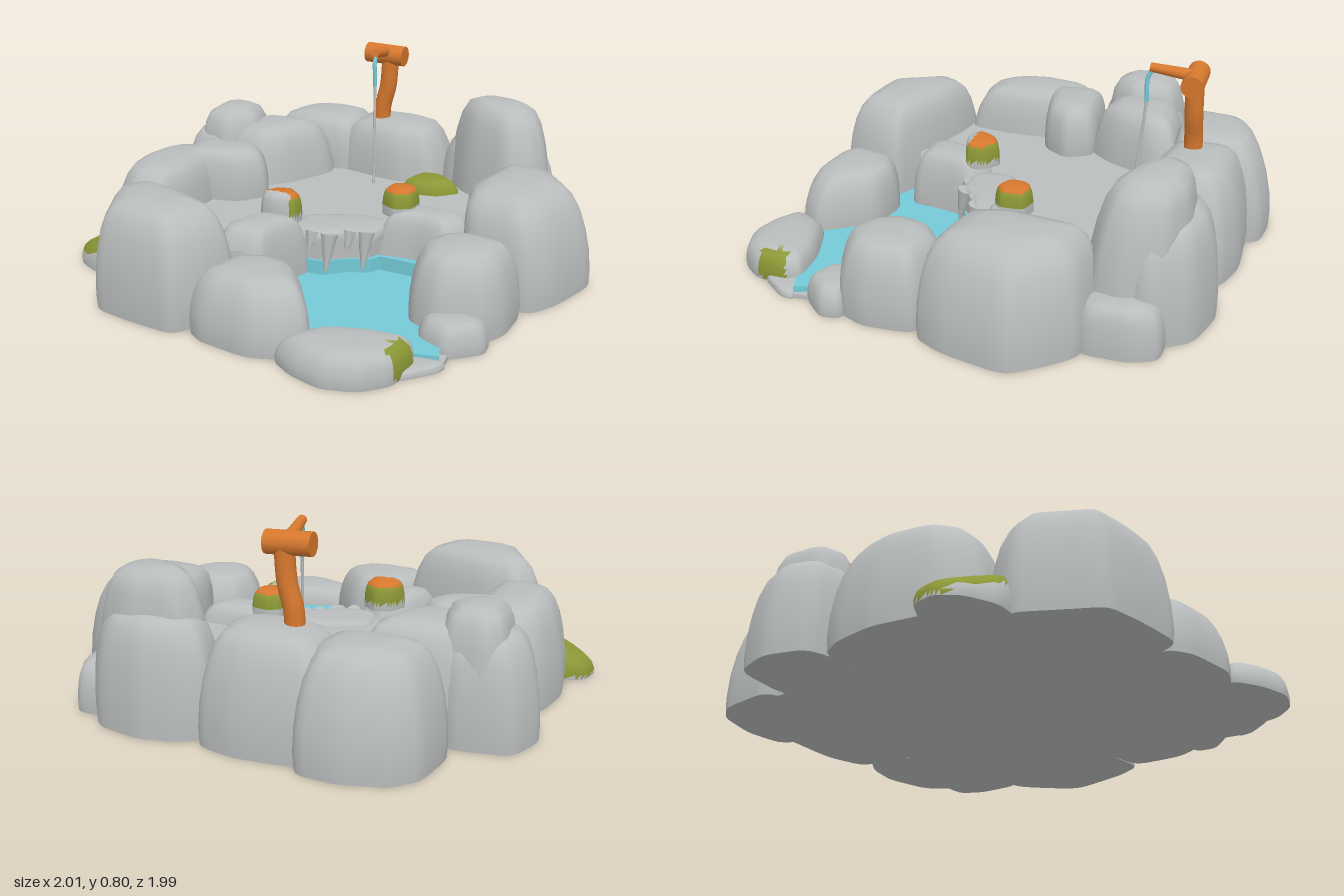
import * as THREE from 'three';
import { toCreasedNormals } from 'three/addons/utils/BufferGeometryUtils.js';

const material = (name, color) => {
  const m = new THREE.MeshStandardMaterial({ color });
  m.name = name;
  return m;
};
const stone = material('stone', 0xbabdbd);
const moss = material('moss', 0x8b9736);
const wood = material('wood', 0xd6782e);
const water = material('water', 0x74cad7);
const palette = [stone, moss, wood];

// Cuts each corner of a plan outline into a short curve
function roundOutline(corners) {
  const out = [];
  const n = corners.length;
  let area = 0;
  for (let i = 0; i < n; i++) {
    const p = new THREE.Vector2(...corners[i]);
    const a = new THREE.Vector2(...corners[(i + n - 1) % n]).lerp(p, 0.74);
    const b = new THREE.Vector2(...corners[(i + 1) % n]).lerp(p, 0.74);
    area += p.cross(new THREE.Vector2(...corners[(i + 1) % n]));
    out.push(...new THREE.QuadraticBezierCurve(a, p, b).getPoints(3));
  }
  return area > 0 ? out : out.reverse();
}

// [scale, height fraction] from foot to crown of a boulder
const PROFILE = [[0.99, 0], [1.01, 0.14], [0.995, 0.35], [0.95, 0.55], [0.88, 0.72],
  [0.78, 0.86], [0.65, 0.95], [0.45, 0.99], [0.22, 1]];

// Boulder lofted from a plan outline; lean shifts the crown, tilt slopes it,
// taper narrows it, paint picks a palette index for each face
function rock(name, corners, h, { y0 = 0, lean = [0, 0], tilt = [0, 0], taper = 1, paint = () => 0 } = {}) {
  const ring = roundOutline(corners);
  const n = ring.length;
  const c = ring.reduce((s, p) => s.add(p), new THREE.Vector2()).divideScalar(n);
  const pos = [];
  for (const [scale, t] of PROFILE) {
    const s = 1 - (1 - scale) * THREE.MathUtils.lerp(taper, 1, t ** 8);
    for (const p of ring) {
      const dx = (p.x - c.x) * s, dz = (p.y - c.y) * s;
      pos.push(c.x + dx + lean[0] * t * t,
        y0 + (h - y0) * t + (dx * tilt[0] + dz * tilt[1]) * t * t,
        c.y + dz + lean[1] * t * t);
    }
  }
  const foot = pos.length / 3, crown = foot + 1;
  pos.push(c.x, y0, c.y, c.x + lean[0], h, c.y + lean[1]);

  const faces = [];
  const last = (PROFILE.length - 1) * n;
  for (let i = 0; i < n; i++) {
    const j = (i + 1) % n;
    for (let k = 0; k < last; k += n) {
      faces.push([k + i, k + n + i, k + j], [k + j, k + n + i, k + n + j]);
    }
    faces.push([foot, i, j], [crown, last + j, last + i]);
  }
  const sorted = [[], [], []];
  for (const f of faces) {
    const mid = [0, 1, 2].map(a => (pos[f[0] * 3 + a] + pos[f[1] * 3 + a] + pos[f[2] * 3 + a]) / 3);
    sorted[paint(...mid)].push(...f);
  }
  const geo = new THREE.BufferGeometry();
  geo.setAttribute('position', new THREE.Float32BufferAttribute(pos, 3));
  geo.setIndex(sorted.flat());
  let start = 0;
  sorted.forEach((list, i) => {
    if (list.length) geo.addGroup(start, list.length, i);
    start += list.length;
  });
  const mesh = new THREE.Mesh(toCreasedNormals(geo, 0.75), palette);
  mesh.name = name;
  return mesh;
}

// Flat slab between two heights
function slab(name, outline, y0, y1, mat) {
  const shape = new THREE.Shape(outline.map(([x, z]) => new THREE.Vector2(x, -z)));
  const geo = new THREE.ExtrudeGeometry(shape, { depth: y1 - y0, bevelEnabled: false });
  geo.rotateX(-Math.PI / 2).translate(0, y0, 0);
  const mesh = new THREE.Mesh(geo, mat);
  mesh.name = name;
  return mesh;
}

// Round bar between two points
function bar(name, a, b, r0, r1, mat, sides = 16) {
  const p = new THREE.Vector3(...a), q = new THREE.Vector3(...b);
  const mesh = new THREE.Mesh(new THREE.CylinderGeometry(r1, r0, p.distanceTo(q), sides), mat);
  mesh.position.copy(p).lerp(q, 0.5);
  mesh.quaternion.setFromUnitVectors(new THREE.Vector3(0, 1, 0), q.sub(p).normalize());
  mesh.name = name;
  return mesh;
}

function tube(name, points, r, mat) {
  const curve = new THREE.CatmullRomCurve3(points.map(p => new THREE.Vector3(...p)));
  const mesh = new THREE.Mesh(new THREE.TubeGeometry(curve, 20, r, 12), mat);
  mesh.name = name;
  return mesh;
}

export function createModel() {
  const g = new THREE.Group();
  g.name = 'rockFountain';

  // Upper terrace with its raised lip, pool bed, pool water and the wet wall behind it
  g.add(
    slab('upperTerrace', [[-0.65, -0.65], [0.65, -0.65], [0.65, 0], [0.22, 0], [0.2, 0.1], [0.12, 0.14],
      [0.05, 0.21], [-0.04, 0.22], [-0.12, 0.48], [-0.4, 0.6], [-0.7, 0.4]], 0, 0.205, stone),
    rock('spillwayLip', [[-0.12, 0.23], [-0.14, 0.05], [0.08, -0.06], [0.25, -0.06], [0.225, 0.115], [0.12, 0.16],
      [0.05, 0.23]], 0.228, { y0: 0.17, taper: 0.3 }),
    slab('poolBed', [[-0.5, 0.5], [-0.2, 0], [0.7, -0.1], [0.75, 0.5], [0.77, 0.67], [0.4, 0.85], [-0.3, 0.75]], 0, 0.018, stone),
    slab('poolWater', [[-0.25, 0.55], [-0.15, 0.1], [0.2, -0.02], [0.57, -0.02], [0.62, 0.42], [0.72, 0.58],
      [0.755, 0.66], [0.55, 0.72], [0.3, 0.8], [-0.1, 0.68]], 0.012, 0.042, water),
    slab('wetWall', [[-0.1, 0.5], [-0.03, 0.23], [0.055, 0.22], [0.125, 0.15], [0.21, 0.11], [0.23, 0.065],
      [0.52, 0.07], [0.56, 0], [0.2, 0], [-0.1, 0.15]], 0.02, 0.1, water),
  );

  // Back boulders
  g.add(
    rock('backLeftBoulder', [[-0.71, -0.62], [-0.68, -0.86], [-0.6, -0.95], [-0.42, -1], [-0.25, -0.98],
      [-0.18, -0.8], [-0.22, -0.59], [-0.5, -0.56]], 0.44, { lean: [0.01, 0.05] }),
    rock('backCentreBoulder', [[-0.34, -0.6], [-0.34, -0.92], [0, -0.94], [0.17, -0.89], [0.21, -0.72],
      [0.18, -0.58], [0, -0.53]], 0.45, { lean: [-0.02, 0.02] }),
    rock('backRightBoulder', [[0.17, -0.65], [0.15, -0.82], [0.25, -0.89], [0.4, -0.92], [0.6, -0.87],
      [0.72, -0.7], [0.6, -0.55]], 0.45, { lean: [0, 0.02], taper: 0.8 }),
    rock('tallBoulder', [[0.2, -0.68], [0.27, -0.81], [0.5, -0.83], [0.66, -0.76], [0.71, -0.6], [0.68, -0.5],
      [0.57, -0.44], [0.34, -0.53]], 0.6, { lean: [-0.02, -0.03], tilt: [-0.08, 0] }),
    rock('cornerBoulder', [[0.55, -0.5], [0.58, -0.78], [0.75, -0.78], [0.8, -0.68], [0.8, -0.5], [0.7, -0.42]], 0.2,
      { taper: 0.7 }),
  );

  // Left boulders
  g.add(
    rock('leftBackBoulder', [[-0.97, -0.38], [-0.91, -0.55], [-0.65, -0.58], [-0.58, -0.3], [-0.72, -0.16],
      [-0.92, -0.21]], 0.42, { lean: [0.03, 0], taper: 0.8 }),
    rock('leftPeak', [[-0.87, -0.48], [-0.8, -0.56], [-0.62, -0.54], [-0.56, -0.34], [-0.68, -0.2], [-0.85, -0.24]],
      0.51, { lean: [0, 0.01], taper: 0.6 }),
    rock('leftInnerBoulder', [[-0.74, -0.55], [-0.55, -0.6], [-0.32, -0.61], [-0.3, -0.5], [-0.4, -0.28],
      [-0.5, -0.17], [-0.72, -0.2]], 0.45, { lean: [-0.01, 0] }),
    rock('leftBoulder', [[-0.94, 0.1], [-0.91, -0.08], [-0.85, -0.19], [-0.6, -0.21], [-0.57, 0.2], [-0.6, 0.43],
      [-0.77, 0.45], [-0.9, 0.34]], 0.41, { lean: [0.02, 0] }),
    rock('leftOverhang', [[-0.82, -0.18], [-0.46, -0.21], [-0.39, -0.09], [-0.47, 0.03], [-0.78, 0.1]], 0.42, { y0: 0.2, taper: 0.8 }),
    rock('mossyLeftStone', [[-1.01, 0.42], [-0.99, 0.32], [-0.85, 0.25], [-0.62, 0.3], [-0.62, 0.53], [-0.82, 0.56],
      [-0.95, 0.5]], 0.16, { lean: [0.08, -0.01], tilt: [0.38, 0],
      paint: (x, y, z) => (y > 0.01 && (z < 0.46 || y > 0.08 + 0.35 * (x + 0.85)) ? 1 : 0) }),
  );

  // Right and front boulders
  g.add(
    rock('rightBoulder', [[0.58, -0.4], [0.6, -0.53], [0.82, -0.5], [0.92, -0.4], [1.01, -0.28], [0.95, -0.02],
      [0.88, 0.11], [0.6, 0.07], [0.54, -0.1]], 0.43, { lean: [-0.06, 0], taper: 0.7 }),
    rock('rightFrontBoulder', [[0.47, 0.3], [0.51, 0.14], [0.62, 0.07], [0.86, 0.11], [0.87, 0.32], [0.82, 0.43],
      [0.66, 0.5], [0.54, 0.45]], 0.32, { lean: [0, -0.01] }),
    rock('smallRightStone', [[0.59, 0.48], [0.72, 0.39], [0.85, 0.42], [0.86, 0.5], [0.75, 0.61], [0.63, 0.56]], 0.12),
    rock('frontRightStone', [[0.21, 0.89], [0.29, 0.75], [0.5, 0.68], [0.66, 0.67], [0.69, 0.74],
      [0.67, 0.87], [0.59, 0.96], [0.46, 1], [0.32, 0.96]], 0.125,
    { lean: [0.02, -0.01], taper: 0.8, paint: (x, y, z) => (y > 0.01 && x > 0.625 && z > 0.73 && z < 0.85 ? 1 : 0) }),
    rock('poolSill', [[0.58, 0.7], [0.64, 0.66], [0.78, 0.65], [0.77, 0.71], [0.68, 0.82], [0.6, 0.85]], 0.032, { taper: 0.5 }),
    rock('frontCentreBoulder', [[-0.19, 0.83], [-0.14, 0.6], [0, 0.54], [0.16, 0.57], [0.31, 0.78], [0.23, 0.88],
      [0.12, 0.92], [-0.1, 0.89]], 0.265, { lean: [-0.01, -0.03] }),
    rock('frontLeftBoulder', [[-0.76, 0.55], [-0.69, 0.41], [-0.5, 0.44], [-0.3, 0.51], [-0.11, 0.6], [-0.15, 0.75],
      [-0.22, 0.89], [-0.45, 0.87], [-0.61, 0.84], [-0.68, 0.7]], 0.44, { lean: [0, -0.01], taper: 0.9 }),
  );

  // Ledge stones either side of the spillway, topped by mossy cap stones
  g.add(
    rock('rightLedge', [[0.18, -0.13], [0.3, -0.17], [0.56, -0.17], [0.59, -0.08], [0.53, 0.06], [0.35, 0.03],
      [0.19, 0.06]], 0.285),
    rock('leftLedge', [[-0.32, 0.45], [-0.25, 0.22], [-0.14, 0.13], [-0.01, 0.2], [-0.05, 0.36], [-0.07, 0.51],
      [-0.27, 0.52]], 0.29),
    rock('mossMound', [[0.07, -0.45], [0.11, -0.6], [0.22, -0.61], [0.34, -0.52], [0.26, -0.43], [0.15, -0.41]], 0.265,
      { y0: 0.16, paint: () => 1 }),
    rock('rightCapStone', [[0.185, -0.03], [0.19, -0.12], [0.24, -0.15], [0.32, -0.13], [0.325, -0.03], [0.26, 0.01]],
      0.365, { y0: 0.25, taper: 0.6, paint: (x, y) => (y > 0.345 ? 2 : y > 0.29 ? 1 : 0) }),
    rock('leftCapStone', [[-0.23, 0.23], [-0.2, 0.15], [-0.13, 0.12], [-0.06, 0.18], [-0.06, 0.25], [-0.14, 0.28],
      [-0.2, 0.27]], 0.37, { y0: 0.25, tilt: [0, 0.08], taper: 0.6,
      paint: (x, y, z) => (y < 0.28 || (z > 0.235 && x < -0.085) ? 0 : y > 0.345 ? 2 : 1) }),
  );

  // Stone drips hanging from the spillway lip
  for (const [x, z, y, r] of [[0, 0.21, 0.15, 0.03], [0.07, 0.2, 0.06, 0.035], [0.13, 0.135, 0.14, 0.03], [0.19, 0.11, 0.06, 0.035]]) {
    g.add(bar('spillwayDrip', [x, y, z + 0.035], [x, 0.215, z], 0.004, r, stone, 12));
  }

  // Wooden pump: crooked post, cross log and spout
  const pump = new THREE.Group();
  pump.name = 'woodenPump';
  pump.add(
    tube('post', [[-0.14, 0.41, -0.7], [-0.135, 0.5, -0.7], [-0.11, 0.6, -0.7], [-0.1, 0.73, -0.7]], 0.038, wood),
    bar('crossLog', [-0.21, 0.745, -0.695], [-0.03, 0.74, -0.7], 0.045, 0.045, wood),
    bar('spout', [-0.115, 0.76, -0.68], [-0.09, 0.785, -0.52], 0.025, 0.018, wood),
    tube('waterStream', [[-0.09, 0.775, -0.53], [-0.088, 0.74, -0.513], [-0.085, 0.69, -0.512], [-0.085, 0.64, -0.513]], 0.009, water),
    tube('streamThread', [[-0.085, 0.65, -0.513], [-0.08, 0.5, -0.5], [-0.07, 0.35, -0.485], [-0.065, 0.2, -0.465]], 0.006, stone),
  );
  g.add(pump);
  return g;
}
